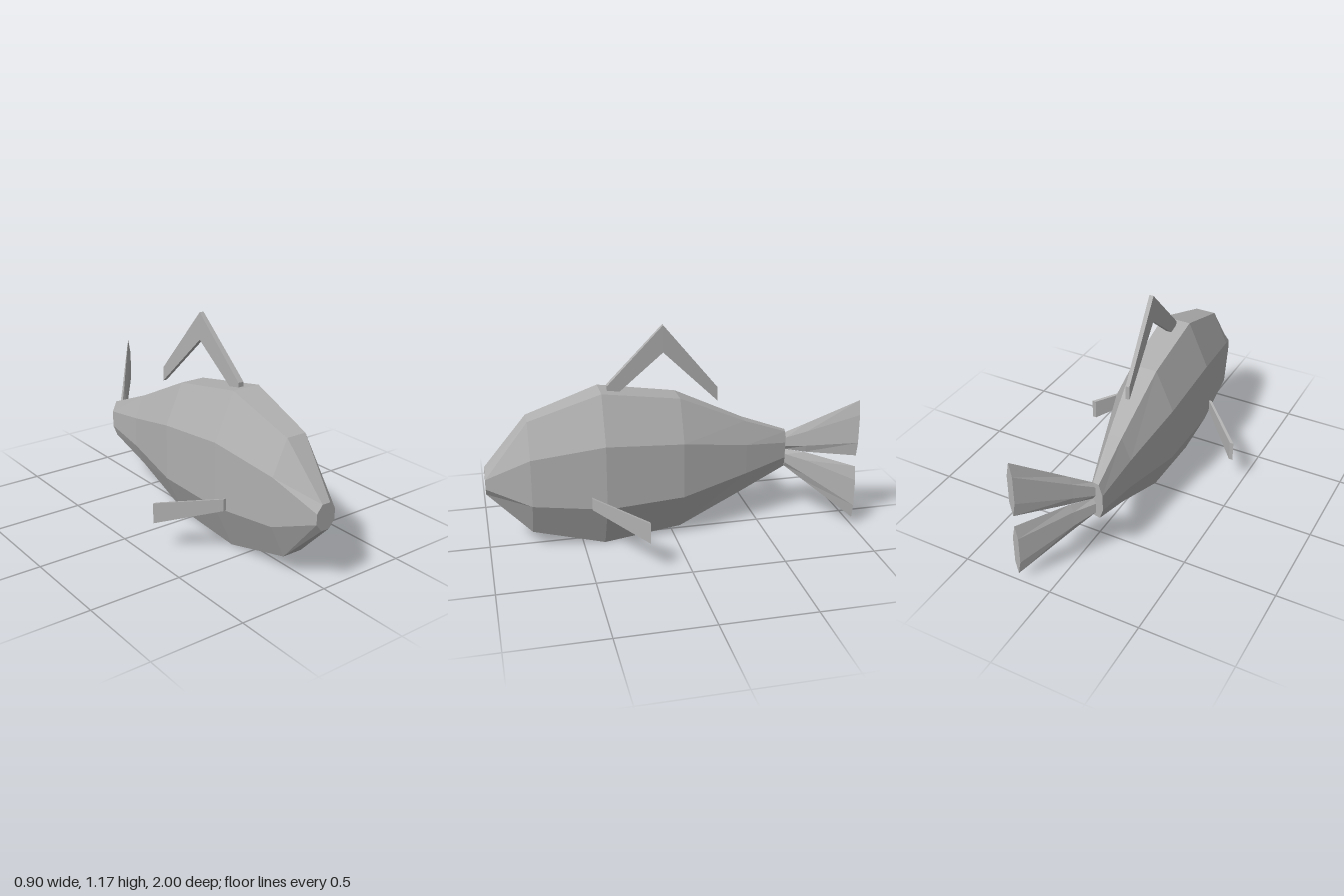
import * as THREE from 'three';

// Skin a list of rings ordered front to back; each ring runs counter-clockwise seen from the front.
function loft(rings) {
  const n = rings[0].length;
  const index = [];
  for (let r = 0; r < rings.length - 1; r++) {
    for (let i = 0; i < n; i++) {
      const j = (i + 1) % n;
      const a = r * n + i, b = r * n + j, c = a + n, d = b + n;
      index.push(a, c, d, a, d, b);
    }
  }
  const last = (rings.length - 1) * n;
  for (let i = 1; i < n - 1; i++) {
    index.push(0, i, i + 1, last, last + i + 1, last + i);
  }
  const geometry = new THREE.BufferGeometry();
  geometry.setAttribute('position', new THREE.Float32BufferAttribute(rings.flat(2), 3));
  geometry.setIndex(index);
  const flat = geometry.toNonIndexed();
  flat.computeVertexNormals();
  return flat;
}

// Octagonal body section: centre x, half width, half width of top/bottom flats, four heights.
function octagon([z, cx, w, t, bottom, lower, upper, top, tilt = 0]) {
  return [[-t, bottom], [t, bottom], [w, lower], [w, upper], [t, top], [-t, top], [-w, upper], [-w, lower]]
    .map(([x, y]) => [cx + x, y, z + tilt * x]);
}

// Rectangular fin section.
function rect(z, cx, w, low, high) {
  return [[cx - w, low, z], [cx + w, low, z], [cx + w, high, z], [cx - w, high, z]];
}

// Pointed six-sided tail section.
function hexagon(z, cx, w, low, high) {
  const h = (high - low) * 0.25;
  return [[cx, low, z], [cx + w, low + h, z], [cx + w, high - h, z],
    [cx, high, z], [cx - w, high - h, z], [cx - w, low + h, z]];
}

export function createModel() {
  const group = new THREE.Group();
  const grey = new THREE.MeshStandardMaterial({ color: 0xb0b0b0, flatShading: true });
  grey.name = 'grey';
  const add = (name, rings) => {
    const mesh = new THREE.Mesh(loft(rings), grey);
    mesh.name = name;
    group.add(mesh);
  };

  // Body, curving towards its right at the tail
  add('body', [
    [1, -0.012, 0.057, 0.024, 0.32, 0.362, 0.417, 0.457],
    [0.77, -0.005, 0.141, 0.057, 0.093, 0.28, 0.54, 0.722],
    [0.385, -0.001, 0.194, 0.08, 0, 0.25, 0.603, 0.852],
    [-0.04, -0.025, 0.17, 0.07, 0.038, 0.255, 0.562, 0.783],
    [-0.42, -0.059, 0.088, 0.037, 0.187, 0.308, 0.477, 0.6],
    [-0.68, -0.095, 0.04, 0.018, 0.285, 0.345, 0.435, 0.495, 0.2],
  ].map(octagon));

  // Bent dorsal fin
  add('dorsalFin', [
    rect(0.345, -0.003, 0.016, 0.78, 0.87),
    rect(0.04, -0.023, 0.012, 1.025, 1.172),
    rect(-0.265, -0.047, 0.011, 0.727, 0.803),
  ]);

  // Swept side fins
  for (const [name, side] of [['leftFin', 1], ['rightFin', -1]]) {
    add(name, [
      rect(0.465, side * 0.192, 0.009, 0.26, 0.325),
      rect(0.207, side * 0.441, 0.011, 0.162, 0.274),
    ]);
  }

  // Two tail lobes spreading from a shared root
  add('upperTailLobe', [
    hexagon(-0.675, -0.073, 0.02, 0.39, 0.492),
    hexagon(-0.77, 0.002, 0.018, 0.394, 0.566),
    hexagon(-1, 0.178, 0.015, 0.422, 0.745),
  ]);
  add('lowerTailLobe', [
    hexagon(-0.675, -0.073, 0.02, 0.288, 0.39),
    hexagon(-0.77, 0.002, 0.018, 0.218, 0.392),
    hexagon(-1, 0.178, 0.015, 0.047, 0.357),
  ]);
  return group;
}
